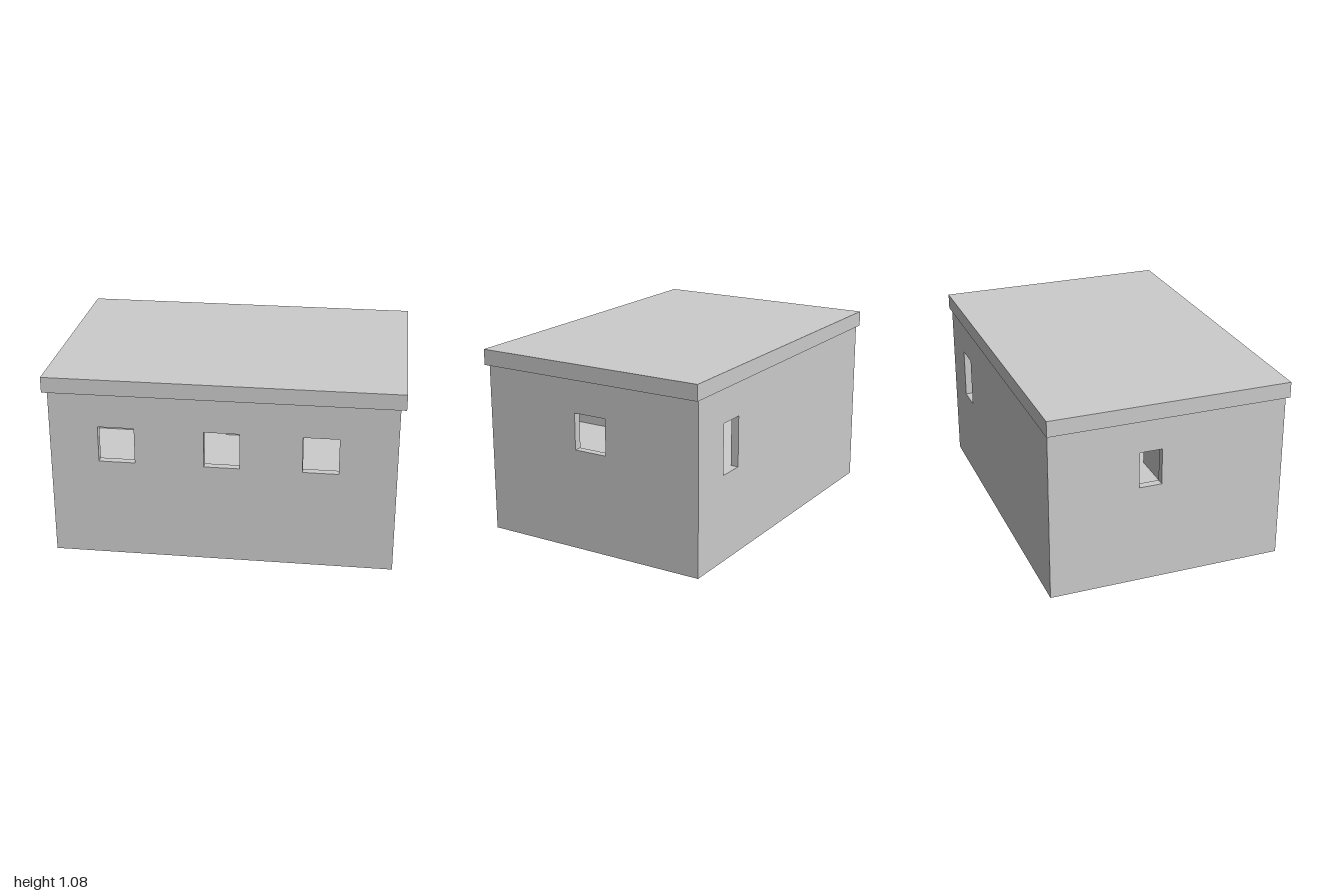
import * as THREE from 'three';

const HX = 0.97, HZ = 0.682, T = 0.045; // outer half sizes and wall thickness
const FLOOR = 0.5, TOP = 0.985;
const SILL = 0.58, HEAD = 0.79;

export function createModel() {
  const group = new THREE.Group();
  const material = new THREE.MeshStandardMaterial({ color: 0xcccccc, flatShading: true });

  const add = (name, geometry) => {
    const mesh = new THREE.Mesh(geometry, material);
    mesh.name = name;
    group.add(mesh);
  };

  const box = (name, x0, x1, y0, y1, z0, z1) => {
    const geometry = new THREE.BoxGeometry(x1 - x0, y1 - y0, z1 - z0);
    geometry.translate((x0 + x1) / 2, (y0 + y1) / 2, (z0 + z1) / 2);
    add(name, geometry);
  };

  // Wall panel from a to b with rectangular openings [a, b, bottom, top]
  const panel = (a, b, bottom, openings) => {
    const rect = (path, u0, u1, v0, v1) => {
      path.moveTo(u0, v0);
      path.lineTo(u1, v0);
      path.lineTo(u1, v1);
      path.lineTo(u0, v1);
      path.closePath();
      return path;
    };
    const shape = rect(new THREE.Shape(), a, b, bottom, TOP);
    for (const o of openings) shape.holes.push(rect(new THREE.Path(), ...o));
    return new THREE.ExtrudeGeometry(shape, { depth: T, bevelEnabled: false });
  };
  // Wall running along x, its back face at z
  const wallAlongX = (name, x0, x1, z, bottom, openings) =>
    add(name, panel(x0, x1, bottom, openings).translate(0, 0, z));
  // Wall running along z, its +x face at x
  const wallAlongZ = (name, z0, z1, x, bottom, openings) =>
    add(name, panel(z0, z1, bottom, openings).rotateY(-Math.PI / 2).translate(x, 0, 0));

  // Outer walls with windows and the back door
  wallAlongX('frontWall', -HX, HX, HZ - T, 0,
    [[-0.695, -0.49], [-0.1, 0.1], [0.45, 0.65]].map(([a, b]) => [a, b, SILL, HEAD]));
  wallAlongX('backWall', -HX, HX, -HZ, 0, [[0.55, 0.71, FLOOR, HEAD]]);
  wallAlongZ('leftWall', -HZ + T, HZ - T, HX, 0, [[-0.1, 0.1, SILL, HEAD]]);
  wallAlongZ('rightWall', -HZ + T, HZ - T, -HX + T, 0, [[-0.17, -0.04, SILL, HEAD]]);

  // Raised floor
  box('floor', -HX + T, HX - T, 0, FLOOR, -HZ + T, HZ - T);

  // Inner walls: two front rooms opening onto the back hall
  const innerBase = FLOOR - 0.05, hallZ = 0.02;
  wallAlongX('hallWall', -HX + T, 0.335, hallZ, innerBase,
    [[-0.565, -0.405, FLOOR, HEAD], [-0.22, -0.06, FLOOR, HEAD]]);
  for (const x of [-0.29, 0.335]) {
    wallAlongZ('roomDivider', hallZ + T, HZ - T, x, innerBase, []);
  }

  // Overhanging roof slab
  box('roof', -1, 1, TOP, 1.075, -0.693, 0.693);

  return group;
}
